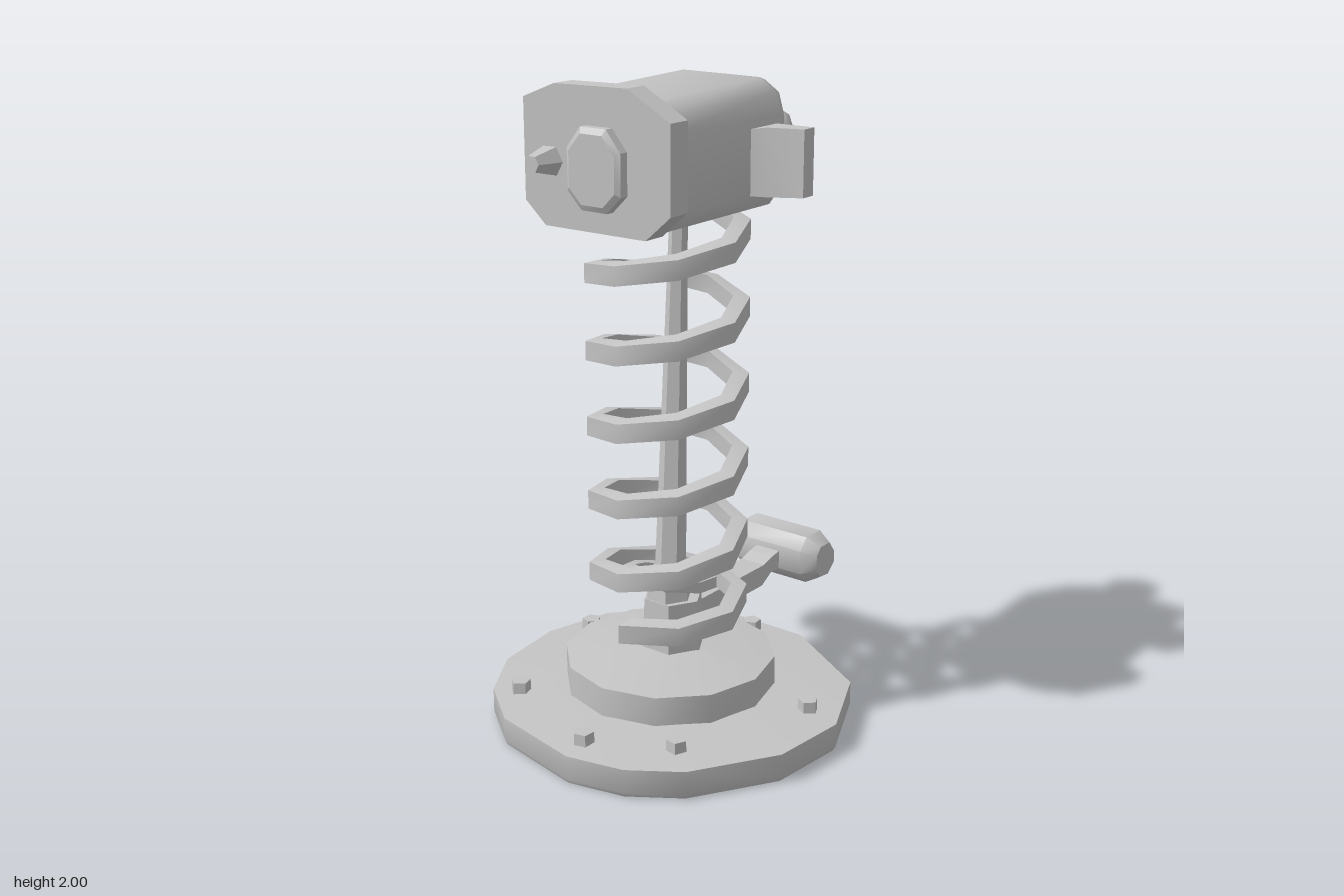
import * as THREE from 'three';
import { toCreasedNormals } from 'three/addons/utils/BufferGeometryUtils.js';

const V = (x, y, z) => new THREE.Vector3(x, y, z);

// Closed skin through equal-length rings, capped at both ends and wound outward
function loft(rings, crease = 0.85) {
  const tris = [];
  const n = rings[0].length, last = rings[rings.length - 1];
  for (let i = 0; i < rings.length - 1; i++) {
    for (let j = 0; j < n; j++) {
      const k = (j + 1) % n;
      const a = rings[i][j], b = rings[i][k], c = rings[i + 1][k], d = rings[i + 1][j];
      tris.push([a, b, c], [a, c, d]);
    }
  }
  for (let j = 1; j < n - 1; j++) {
    tris.push([rings[0][0], rings[0][j + 1], rings[0][j]], [last[0], last[j], last[j + 1]]);
  }
  const volume = tris.reduce((s, [a, b, c]) => s + a.dot(V().crossVectors(b, c)), 0);
  const pos = tris.flatMap(t => (volume < 0 ? [t[0], t[2], t[1]] : t).flatMap(p => p.toArray()));
  const g = new THREE.BufferGeometry();
  g.setAttribute('position', new THREE.Float32BufferAttribute(pos, 3));
  g.computeVertexNormals();
  return toCreasedNormals(g, crease);
}

// Scale a 2D outline about a centre
const scaled = (pts, s, cx, cy) => pts.map(([x, y]) => [cx + (x - cx) * s, cy + (y - cy) * s]);

// Flat band wound round a path; at(t) gives radii and height at turn t
function band(t0, t1, perTurn, at, w, h) {
  const rings = [], steps = Math.round((t1 - t0) * perTurn);
  for (let i = 0; i <= steps; i++) {
    const t = t0 + (t1 - t0) * i / steps, a = t * Math.PI * 2;
    const { rx, rz, y } = at(t);
    const corners = [[0, -h], [0, h * 0.8], [-w, h], [-w, -h * 0.7]];
    rings.push(corners.map(([r, dy]) => V(-0.07 + Math.cos(a) * (rx + r), y + dy, -0.02 - Math.sin(a) * (rz + r))));
  }
  return loft(rings);
}

export function createModel() {
  const group = new THREE.Group();
  const metal = new THREE.MeshStandardMaterial({ color: 0xc4c4c4 });
  metal.name = 'grey metal';
  const add = (name, geometry, x = 0, y = 0, z = 0) => {
    const m = new THREE.Mesh(geometry, metal);
    m.name = name;
    m.position.set(x, y, z);
    group.add(m);
    return m;
  };

  // Uneven round base plate, outline in x, z
  const rim = [[-0.03, -0.56], [0.2, -0.5], [0.38, -0.33], [0.46, -0.12], [0.46, 0.12], [0.27, 0.44], [0.01, 0.555],
    [-0.24, 0.53], [-0.49, 0.37], [-0.59, 0.22], [-0.63, 0.04], [-0.57, -0.26], [-0.45, -0.42], [-0.27, -0.53]];
  add('basePlate', loft([
    scaled(rim, 0.985, -0.08, 0).map(([x, z]) => V(x, 0.005, z)),
    rim.map(([x, z]) => V(x, 0.02, z)),
    rim.map(([x, z]) => V(x, 0.095, z)),
    scaled(rim, 0.5, -0.08, 0).map(([x, z]) => V(x, 0.11, z)),
  ]));

  // Raised step with a slightly domed top
  const circle = (r, y, n = 12) => Array.from({ length: n }, (_, i) =>
    V(-0.065 + r * Math.sin(i / n * Math.PI * 2), y, -0.02 + r * Math.cos(i / n * Math.PI * 2)));
  add('baseStep', loft([circle(0.33, 0.08), circle(0.33, 0.2), circle(0.1, 0.23)]));

  // Five-sided bolts
  [[0.07, -0.46], [-0.41, -0.34], [-0.54, 0.03], [-0.41, 0.275], [0.03, 0.44], [0.39, -0.03]].forEach(([x, z], i) => {
    add('bolt', toCreasedNormals(new THREE.CylinderGeometry(0.031, 0.033, 0.06, 5), 0.5), x, 0.105, z).rotation.y = i * 0.9;
  });

  // Hub and leaning rod
  add('hub', toCreasedNormals(new THREE.CylinderGeometry(0.095, 0.105, 0.19, 6), 0.5), -0.055, 0.295, -0.015);
  const hexagon = (x, y, r) => Array.from({ length: 6 }, (_, i) =>
    V(x + r * Math.cos(i * Math.PI / 3), y, -0.02 + r * Math.sin(i * Math.PI / 3)));
  add('rod', loft([hexagon(-0.07, 0.36, 0.05), hexagon(-0.06, 0.5, 0.048), hexagon(-0.015, 1.66, 0.026)], 0.5));
  add('rodCollar', toCreasedNormals(new THREE.CylinderGeometry(0.06, 0.075, 0.1, 6), 0.5), -0.07, 0.43, -0.02);

  // Coil spring and its tucked-in lower end
  add('spring', band(-0.5, 5.25, 8, t => ({
    rx: 0.245, rz: 0.245, y: 0.4 + (t < 0 ? 0.1 : 0.235) * t,
  }), 0.05, 0.033));
  add('springEnd', band(-0.4, 0.5, 8, t => ({
    rx: 0.16, rz: 0.14, y: 0.455 - 0.04 * Math.cos(t * Math.PI * 2),
  }), 0.045, 0.02));

  // Side arm
  const arm = new THREE.Shape([[-0.03, 0.28], [0.37, 0.28], [0.42, 0.31], [0.49, 0.31], [0.49, 0.375], [0.43, 0.365],
    [0.38, 0.35], [-0.03, 0.35]].map(p => new THREE.Vector2(...p)));
  add('arm', new THREE.ExtrudeGeometry(arm, { depth: 0.09, bevelEnabled: false }), 0, 0, -0.065);

  // Rounded handle across the end of the arm
  const grip = [[0.5, 0.43], [0.58, 0.43], [0.625, 0.37], [0.625, 0.31], [0.57, 0.26], [0.5, 0.27], [0.465, 0.31], [0.465, 0.39]];
  add('handle', loft([[-0.19, 0.65], [-0.145, 1], [0.11, 1], [0.155, 0.65]].map(([z, s]) =>
    scaled(grip, s, 0.555, 0.345).map(([x, y]) => V(x, y, z)))));

  // Head body, outline in z, y, narrowing at the nose
  const body = [[0.185, 1.65], [0.185, 1.87], [0.165, 1.92], [0.11, 1.955], [-0.17, 1.955], [-0.235, 1.91],
    [-0.262, 1.85], [-0.262, 1.68], [-0.2, 1.6], [0.15, 1.6]];
  add('headBody', loft([[-0.35, 1], [0.2, 1], [0.24, 0.93], [0.262, 0.75]].map(([x, s]) =>
    scaled(body, s, -0.035, 1.775).map(([z, y]) => V(x, y + (y > 1.9 ? (x + 0.35) * 0.025 : 0), z)))));

  // Rear plate with cut corners
  const plate = [[0.245, 1.67], [0.245, 1.92], [0.1, 2], [-0.15, 1.995], [-0.262, 1.95], [-0.262, 1.66], [-0.19, 1.595], [0.16, 1.595]];
  add('rearPlate', loft([0, 0.075].map(dx => plate.map(([z, y]) => V(-0.4 + dx + z * 0.03, y, z))), 0.4));

  // Raised panel and small knob on the rear plate
  const panel = [[0.05, 1.66], [0.1, 1.71], [0.1, 1.83], [0.05, 1.89], [-0.04, 1.89], [-0.09, 1.83], [-0.09, 1.71], [-0.04, 1.66]];
  add('rearPanel', loft([[-0.39, 1], [-0.425, 1], [-0.435, 0.85]].map(([x, s]) =>
    scaled(panel, s, 0.005, 1.775).map(([z, y]) => V(x, y, z))), 0.4));
  const knob = toCreasedNormals(new THREE.CylinderGeometry(0.025, 0.05, 0.09, 6), 0.5);
  knob.rotateZ(Math.PI / 2);
  add('rearKnob', knob, -0.435, 1.78, -0.17);

  // Tapered lever on the front side
  const slab = (x0, x1, y0, y1, z) => [V(x0, y0, z), V(x1, y0, z), V(x1, y1, z), V(x0, y1, z)];
  add('frontLever', loft([slab(0.045, 0.2, 1.65, 1.84, 0.16), slab(0.07, 0.15, 1.65, 1.85, 0.23),
    slab(0.08, 0.13, 1.66, 1.855, 0.35)], 0.3));

  // Neck and ball on the nose
  const neck = toCreasedNormals(new THREE.CylinderGeometry(0.05, 0.045, 0.16, 6), 0.5);
  neck.rotateZ(Math.PI / 2);
  add('noseNeck', neck, 0.31, 1.77, -0.01);
  const ball = new THREE.SphereGeometry(0.09, 8, 6);
  ball.rotateZ(Math.PI / 2);
  ball.scale(0.85, 1, 1);
  add('noseBall', ball, 0.415, 1.768, -0.012);

  return group;
}
